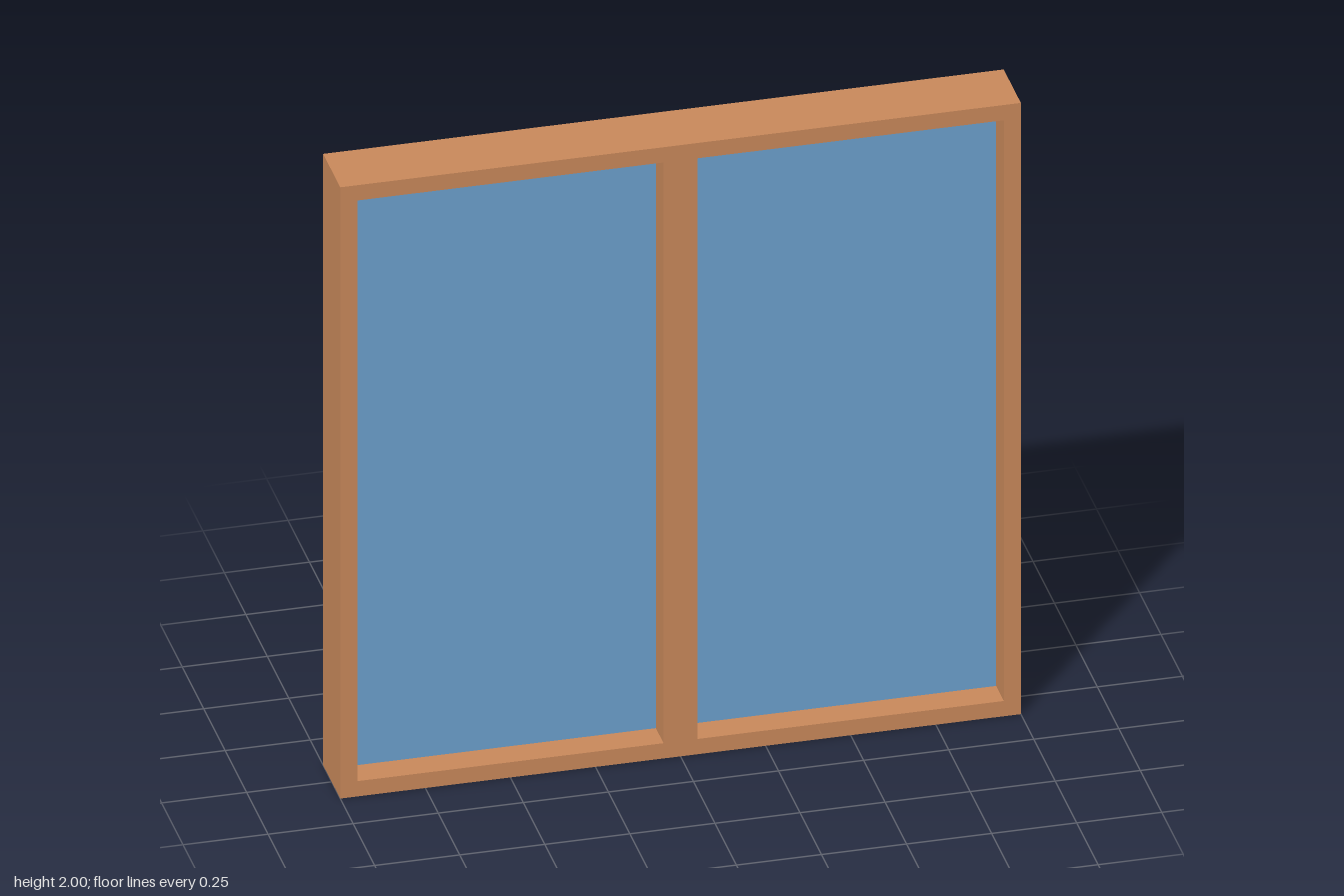
import * as THREE from 'three';

const SIZE = 2, DEPTH = 0.2, BORDER = 0.05, MULLION = 0.1, GLASS = 0.02;
const PANE_W = (SIZE - 2 * BORDER - MULLION) / 2;
const PANE_H = SIZE - 2 * BORDER;
const PANE_X = (MULLION + PANE_W) / 2;

// Traces a rectangle centred on cx, cy
function rect(path, cx, cy, w, h) {
  path.moveTo(cx - w / 2, cy - h / 2);
  path.lineTo(cx + w / 2, cy - h / 2);
  path.lineTo(cx + w / 2, cy + h / 2);
  path.lineTo(cx - w / 2, cy + h / 2);
  path.closePath();
  return path;
}

export function createModel() {
  const group = new THREE.Group();
  group.name = 'window';
  const wood = new THREE.MeshStandardMaterial({ color: 0xc8885a });
  const glass = new THREE.MeshStandardMaterial({ color: 0x6b9fcb });

  // Frame with a central mullion: one slab with two openings
  const outline = rect(new THREE.Shape(), 0, SIZE / 2, SIZE, SIZE);
  for (const side of [-1, 1]) {
    outline.holes.push(rect(new THREE.Path(), side * PANE_X, SIZE / 2, PANE_W, PANE_H));
  }
  const frameGeometry = new THREE.ExtrudeGeometry(outline, { depth: DEPTH, bevelEnabled: false });
  frameGeometry.translate(0, 0, -DEPTH / 2);
  const frame = new THREE.Mesh(frameGeometry, wood);
  frame.name = 'frame';
  group.add(frame);

  // Thin panes set midway through the frame depth
  for (const side of [-1, 1]) {
    const pane = new THREE.Mesh(new THREE.BoxGeometry(PANE_W, PANE_H, GLASS), glass);
    pane.name = side > 0 ? 'leftPane' : 'rightPane';
    pane.position.set(side * PANE_X, SIZE / 2, 0);
    group.add(pane);
  }
  return group;
}
